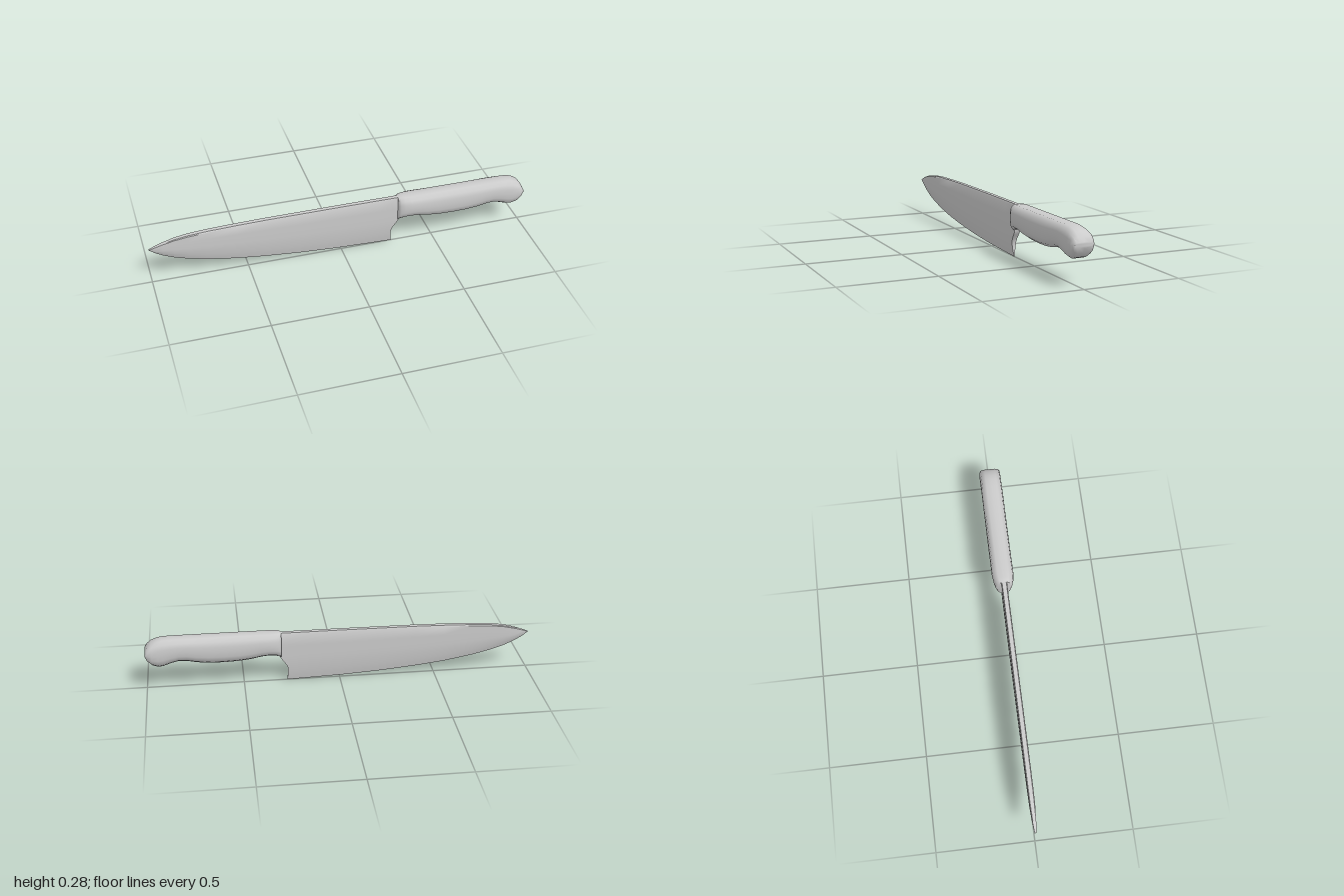
import * as THREE from 'three';
import { toCreasedNormals } from 'three/addons/utils/BufferGeometryUtils.js';

// Linear lookup in a table whose first column is the key
function lookup(table, k, col = 1) {
  let i = 1;
  while (i < table.length - 1 && table[i][0] < k) i++;
  const a = table[i - 1], b = table[i];
  const t = THREE.MathUtils.clamp((k - a[0]) / (b[0] - a[0]), 0, 1);
  return a[col] + (b[col] - a[col]) * t;
}

// Loft along +x; each section lists [x, y, z] from bottom to top on the +z side and is mirrored to -z
function loft(sections, crease) {
  const m = sections[0].length, n = 2 * m, pos = [], idx = [];
  for (const half of sections) {
    for (const [x, y, z] of half) pos.push(x, y, z);
    for (const [x, y, z] of [...half].reverse()) pos.push(x, y, -z);
  }
  const quad = (a, b, c, d) => idx.push(a, b, c, a, c, d);
  const last = sections.length - 1;
  for (let i = 0; i < last; i++) {
    for (let j = 0; j < n; j++) {
      const k = (j + 1) % n;
      quad(i * n + j, (i + 1) * n + j, (i + 1) * n + k, i * n + k);
    }
  }
  // End caps, joining each side to its mirror
  for (let j = 0; j < m - 1; j++) {
    const r = j, l = n - 1 - j, e = last * n;
    quad(e + r, e + l, e + l - 1, e + r + 1);
    quad(r, r + 1, l - 1, l);
  }
  const g = new THREE.BufferGeometry();
  g.setAttribute('position', new THREE.Float32BufferAttribute(pos, 3));
  g.setIndex(idx);
  return toCreasedNormals(g, crease);
}

function bladeGeometry() {
  // x, cutting edge height, spine height, thickness scale
  const outline = [
    [-1, 0.2, 0.204, 0.3], [-0.97, 0.177, 0.216, 0.5], [-0.93, 0.154, 0.23, 0.7],
    [-0.87, 0.128, 0.246, 0.9], [-0.8, 0.107, 0.257, 0.97], [-0.7, 0.084, 0.264, 1],
    [-0.55, 0.058, 0.269, 1], [-0.4, 0.04, 0.272, 1], [-0.2, 0.022, 0.273, 1],
    [0, 0.01, 0.274, 1], [0.2, 0.003, 0.274, 1], [0.31, 0, 0.274, 1],
  ];
  // Heel notch: height, x
  const heel = [[0, 0.276], [0.03, 0.271], [0.07, 0.27], [0.095, 0.28], [0.115, 0.295], [0.135, 0.31], [0.3, 0.31]];
  // Height fraction, half thickness
  const wedge = [
    [0, 0.0005], [0.05, 0.003], [0.11, 0.006], [0.18, 0.0088], [0.26, 0.0112], [0.34, 0.0132],
    [0.42, 0.0145], [0.5, 0.0152], [0.75, 0.0155], [0.97, 0.0152], [1, 0.011],
  ];
  return loft(outline.map(([x, lo, hi, s]) => wedge.map(([f, w]) => {
    const y = lo + (hi - lo) * f;
    const notch = 0.31 - lookup(heel, y);
    return [x - notch * (x + 1) / 1.31, y, w * s];
  })), 0.6);
}

function handleGeometry() {
  // x, underside, top, half width
  const profile = [
    [0.304, 0.142, 0.273, 0.036], [0.315, 0.149, 0.276, 0.045], [0.335, 0.156, 0.277, 0.052],
    [0.37, 0.16, 0.277, 0.057], [0.41, 0.156, 0.277, 0.057], [0.46, 0.146, 0.277, 0.057],
    [0.52, 0.139, 0.277, 0.057], [0.6, 0.136, 0.277, 0.057], [0.68, 0.138, 0.277, 0.057],
    [0.74, 0.145, 0.277, 0.057], [0.79, 0.156, 0.277, 0.057], [0.83, 0.158, 0.277, 0.057],
    [0.87, 0.148, 0.277, 0.057], [0.91, 0.134, 0.275, 0.057], [0.935, 0.131, 0.271, 0.057],
    [0.965, 0.142, 0.259, 0.057], [0.988, 0.166, 0.241, 0.055], [1, 0.193, 0.217, 0.049],
  ];
  // Height fraction, width fraction
  const section = [[0, 0], [0, 0.5], [0.11, 0.86], [0.3, 0.96], [0.5, 1], [0.7, 0.96], [0.89, 0.86], [1, 0.5], [1, 0]];
  return loft(profile.map(([x, lo, hi, w]) =>
    section.map(([f, s]) => [x, lo + (hi - lo) * f, w * s])), 1.1);
}

export function createModel() {
  const group = new THREE.Group();
  group.name = 'kitchenKnife';
  const material = new THREE.MeshStandardMaterial({ color: 0xcccccc });
  const add = (name, geometry) => {
    const mesh = new THREE.Mesh(geometry, material);
    mesh.name = name;
    group.add(mesh);
  };
  add('blade', bladeGeometry());
  add('handle', handleGeometry());
  return group;
}
